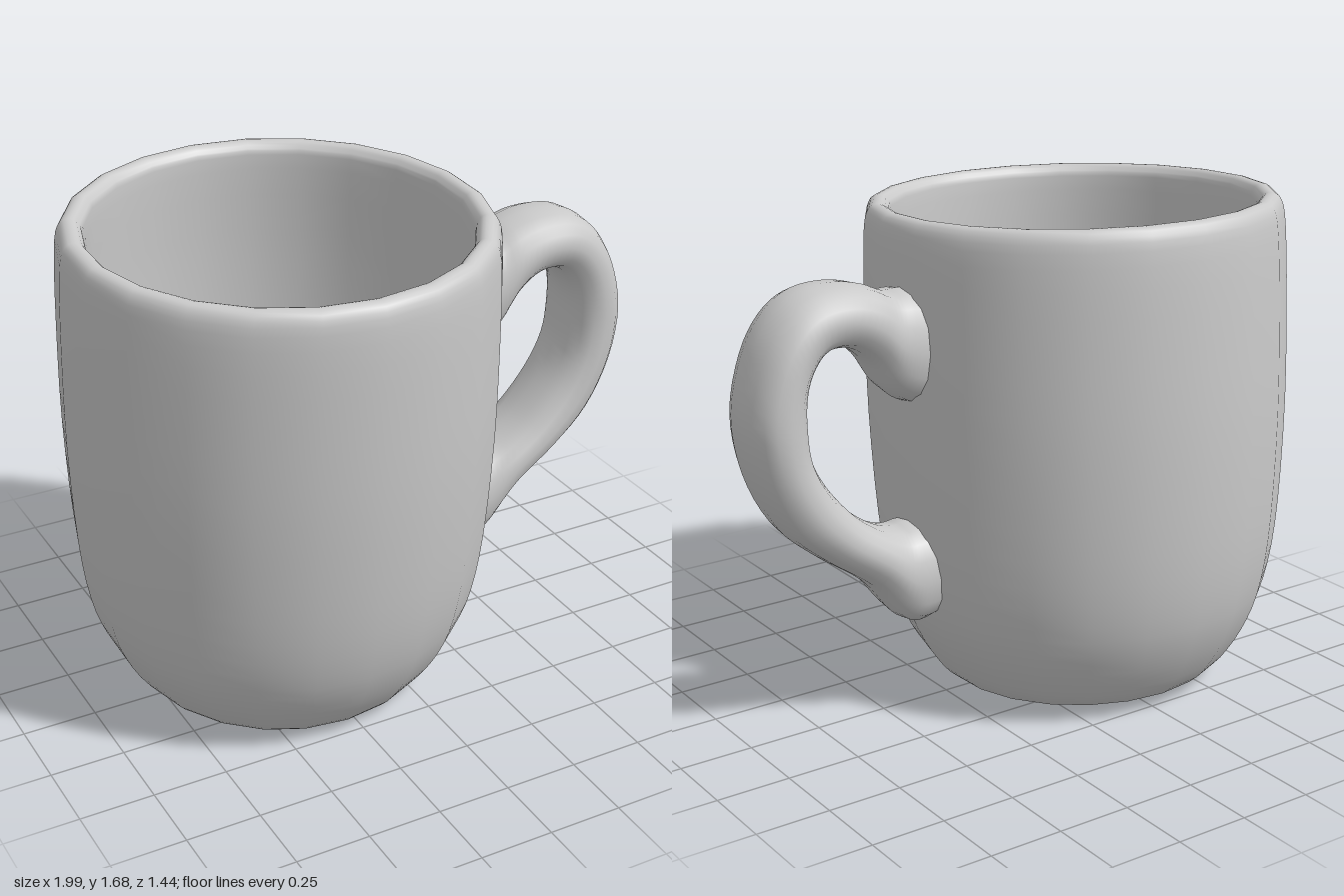
import * as THREE from 'three';

const clay = new THREE.MeshStandardMaterial({ color: 0xcacaca });
clay.name = 'grey clay';

// Revolve a profile of [radius, height] points
function turned(name, points, smooth = true) {
  const curve = new THREE.SplineCurve(points.map(([r, y]) => new THREE.Vector2(r, y)));
  const profile = smooth ? curve.getPoints(points.length * 3) : curve.points;
  profile.forEach(p => { p.x = Math.max(p.x, 0); });
  const mesh = new THREE.Mesh(new THREE.LatheGeometry(profile, 22), clay);
  mesh.name = name;
  return mesh;
}

// Loft oval sections between an outer and an inner edge: [xOut, yOut, xIn, yIn, zShift]
function handleGeometry(stations, sides = 16, steps = 60) {
  const spline = (a, b) => new THREE.SplineCurve(stations.map(s => new THREE.Vector2(s[a], s[b])));
  const outer = spline(0, 1), inner = spline(2, 3), shift = spline(4, 4);
  const round = v => Math.sign(v) * Math.abs(v) ** 0.85;
  const positions = [], index = [];
  for (let i = 0; i <= steps; i++) {
    const t = i / steps;
    const o = outer.getPoint(t), n = inner.getPoint(t), z = shift.getPoint(t).x;
    for (let j = 0; j < sides; j++) {
      const a = (j / sides) * Math.PI * 2;
      const k = (1 + round(Math.cos(a))) / 2;
      positions.push(n.x + (o.x - n.x) * k, n.y + (o.y - n.y) * k, z + 0.152 * round(Math.sin(a)));
      if (i < steps) {
        const p = i * sides + j, q = i * sides + (j + 1) % sides;
        index.push(p, q, p + sides, q, q + sides, p + sides);
      }
    }
  }
  const geometry = new THREE.BufferGeometry();
  geometry.setAttribute('position', new THREE.Float32BufferAttribute(positions, 3));
  geometry.setIndex(index);
  geometry.computeVertexNormals();
  return geometry;
}

export function createModel() {
  const model = new THREE.Group();
  model.name = 'mug';

  // The cup leans slightly towards the front
  const cup = new THREE.Group();
  cup.name = 'cup';
  cup.position.set(-0.29, 0, -0.036);
  cup.rotation.x = 0.04;
  model.add(cup);

  // Outer wall, rounded lip and inner bowl in one profile
  cup.add(turned('cupWall', [
    [0.47, 0.028], [0.525, 0.08], [0.6, 0.2], [0.655, 0.35], [0.69, 0.58],
    [0.71, 0.95], [0.71, 1.3], [0.702, 1.56], [0.685, 1.645], [0.65, 1.664],
    [0.622, 1.645], [0.612, 1.58], [0.615, 1.2], [0.595, 0.7], [0.55, 0.4],
    [0.45, 0.21], [0.28, 0.14], [0, 0.125],
  ]));

  // Flat underside
  cup.add(turned('cupBase', [[0, 0.028], [0.47, 0.028]], false));

  // Handle flaring where it meets the wall
  const handle = new THREE.Mesh(handleGeometry([
    [0.35, 1.44, 0.35, 1.06, 0], [0.42, 1.45, 0.43, 1.085, 0], [0.48, 1.45, 0.49, 1.135, 0],
    [0.55, 1.48, 0.555, 1.235, 0], [0.65, 1.5, 0.635, 1.295, 0], [0.77, 1.49, 0.725, 1.295, 0],
    [0.87, 1.43, 0.775, 1.245, -0.005], [0.95, 1.31, 0.8, 1.17, -0.01],
    [1, 1.12, 0.8, 1.07, -0.015], [0.97, 0.92, 0.785, 0.97, -0.015],
    [0.88, 0.74, 0.73, 0.865, -0.015], [0.75, 0.62, 0.63, 0.75, -0.012],
    [0.58, 0.495, 0.53, 0.68, -0.01], [0.47, 0.36, 0.46, 0.66, -0.01],
    [0.4, 0.325, 0.41, 0.665, -0.01], [0.31, 0.35, 0.32, 0.66, -0.01],
  ]), clay);
  handle.name = 'handle';
  model.add(handle);

  return model;
}
